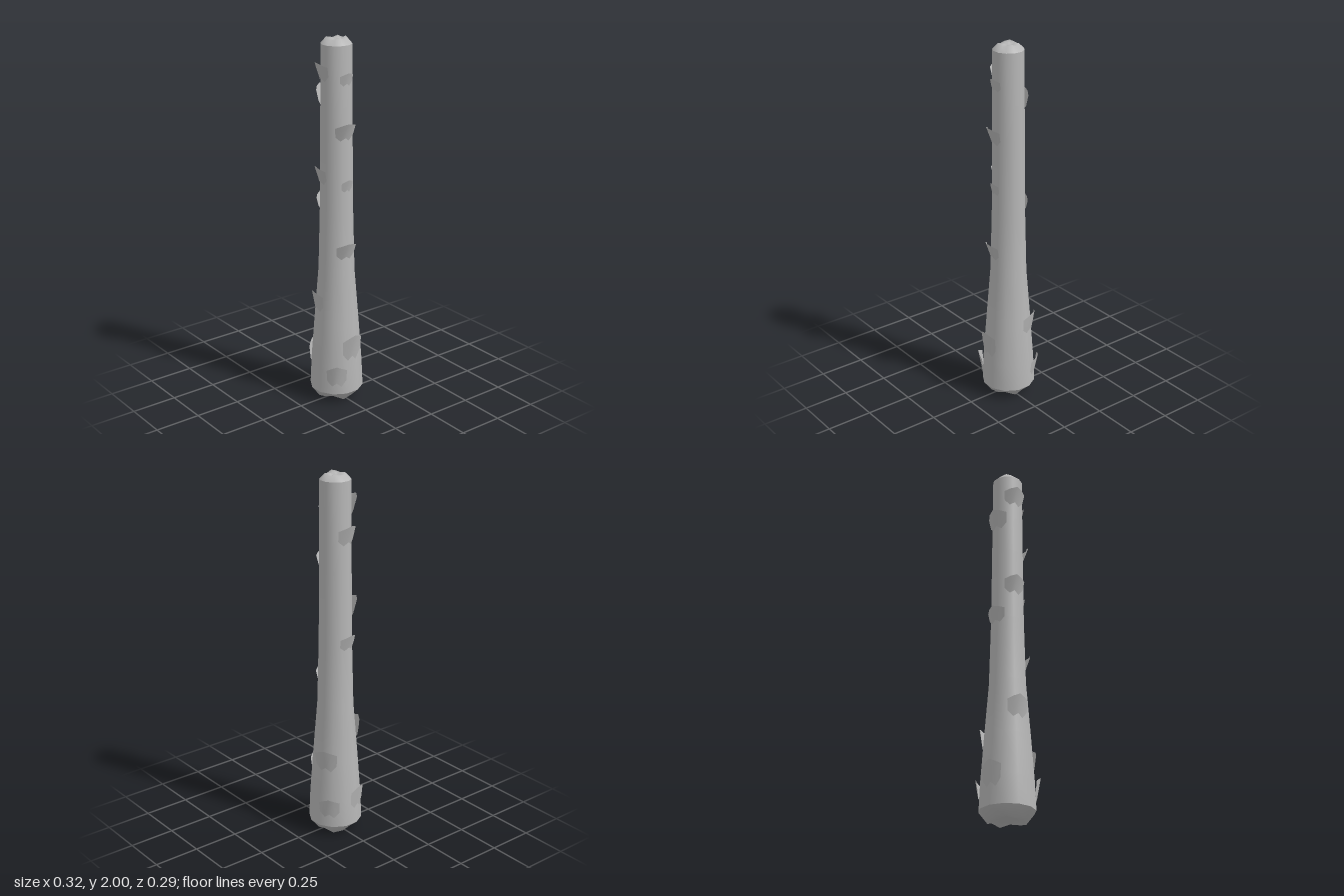
import * as THREE from 'three';
import { mergeVertices } from 'three/addons/utils/BufferGeometryUtils.js';

const SIDES = 12;
const RAD = Math.PI / 180;

// Trunk outline as [radius, height]
const PROFILE = [
  [0.145, 0.065], [0.138, 0.22], [0.121, 0.45], [0.097, 0.75],
  [0.088, 1.1], [0.084, 1.5], [0.081, 1.965],
];

function trunkRadius(y) {
  for (let i = 1; i < PROFILE.length; i++) {
    const [r0, y0] = PROFILE[i - 1], [r1, y1] = PROFILE[i];
    if (y <= y1) return r0 + (r1 - r0) * Math.max(0, (y - y0) / (y1 - y0));
  }
  return PROFILE[PROFILE.length - 1][0];
}

// Twelve-sided turned surface; wobble(ring, side) shifts heights for rough ends
function turned(points, wobble) {
  const geo = new THREE.LatheGeometry(
    points.map(([r, y]) => new THREE.Vector2(r, y)), SIDES, 15 * RAD);
  const pos = geo.attributes.position;
  if (wobble) {
    for (let i = 0; i < pos.count; i++) {
      const ring = i % points.length;
      const side = Math.floor(i / points.length) % SIDES;
      pos.setY(i, pos.getY(i) + wobble(ring, side));
    }
  }
  geo.deleteAttribute('uv');
  geo.deleteAttribute('normal');
  const merged = mergeVertices(geo, 1e-5);
  merged.computeVertexNormals();
  return merged;
}

// Folded bark plate: pointed top leaning outward, ragged lower edge on the trunk
function barkPlate(azimuth, tipY, width, height, lean) {
  const columns = [-1, -0.5, 0, 0.5, 1];
  const topDrop = [0.24, 0.11, 0, 0.1, 0.2];
  const bottom = [0.74, 0.98, 0.82, 1, 0.7];
  const verts = [], index = [];
  columns.forEach((u, i) => {
    for (const v of [topDrop[i], bottom[i]]) {
      const y = tipY - v * height;
      const r = trunkRadius(y);
      const a = azimuth * RAD + u * Math.asin(Math.min(0.95, width / 2 / (r + 0.01)));
      const out = r + 0.001 + lean * Math.max(0, 1 - v) * (1 - 0.3 * Math.abs(u));
      verts.push(out * Math.sin(a), y, out * Math.cos(a));
    }
    if (i > 0) {
      const b = 2 * i;
      index.push(b - 2, b - 1, b, b, b - 1, b + 1);
    }
  });
  const geo = new THREE.BufferGeometry();
  geo.setAttribute('position', new THREE.Float32BufferAttribute(verts, 3));
  geo.setIndex(index);
  geo.computeVertexNormals();
  return geo;
}

// Plates: azimuth from the front towards +x, tip height, width, height, outward lean
const PLATES = [
  [-10, 1.88, 0.11, 0.10, 0.037], [90, 1.83, 0.08, 0.07, 0.02],
  [-80, 1.745, 0.12, 0.11, 0.034], [83, 1.575, 0.105, 0.10, 0.042],
  [-13, 1.335, 0.105, 0.10, 0.036], [90, 1.27, 0.07, 0.07, 0.02],
  [-80, 1.16, 0.11, 0.09, 0.03], [83, 0.93, 0.105, 0.10, 0.042],
  [-10, 0.645, 0.11, 0.12, 0.036], [90, 0.415, 0.11, 0.16, 0.044],
  [-72, 0.295, 0.11, 0.14, 0.03], [53, 0.24, 0.105, 0.13, 0.03],
  [207, 0.52, 0.12, 0.13, 0.036], [218, 0.24, 0.11, 0.12, 0.03],
];

export function createModel() {
  const group = new THREE.Group();
  group.name = 'trunk';
  const gray = new THREE.MeshStandardMaterial({ color: 0xb6b6b6, side: THREE.DoubleSide });
  gray.name = 'gray bark';

  const add = (name, geometry) => {
    const mesh = new THREE.Mesh(geometry, gray);
    mesh.name = name;
    mesh.position.x = -0.009;
    group.add(mesh);
  };

  add('trunkShaft', turned(PROFILE));

  // Rough broken ends
  const jag = [0, 0.008, 0.002, -0.006, 0.004, 0.01, -0.004, 0.003, 0.009, -0.003, 0.006, -0.005];
  add('trunkBase', turned(
    [[0, 0.03], [0.055, 0.026], [0.1, 0.018], [0.145, 0.065]],
    (ring, side) => (ring === 1 || ring === 2 ? jag[(side + ring * 2) % SIDES] * 1.6 - 0.004 : 0)));
  add('trunkTop', turned(
    [[0.081, 1.965], [0.052, 1.991], [0.025, 1.988], [0, 1.982]],
    (ring, side) => (ring === 1 || ring === 2 ? jag[(side + ring * 3) % SIDES] * 0.9 : 0)));

  PLATES.forEach((plate, i) => add('barkPlate' + (i + 1), barkPlate(...plate)));
  return group;
}
